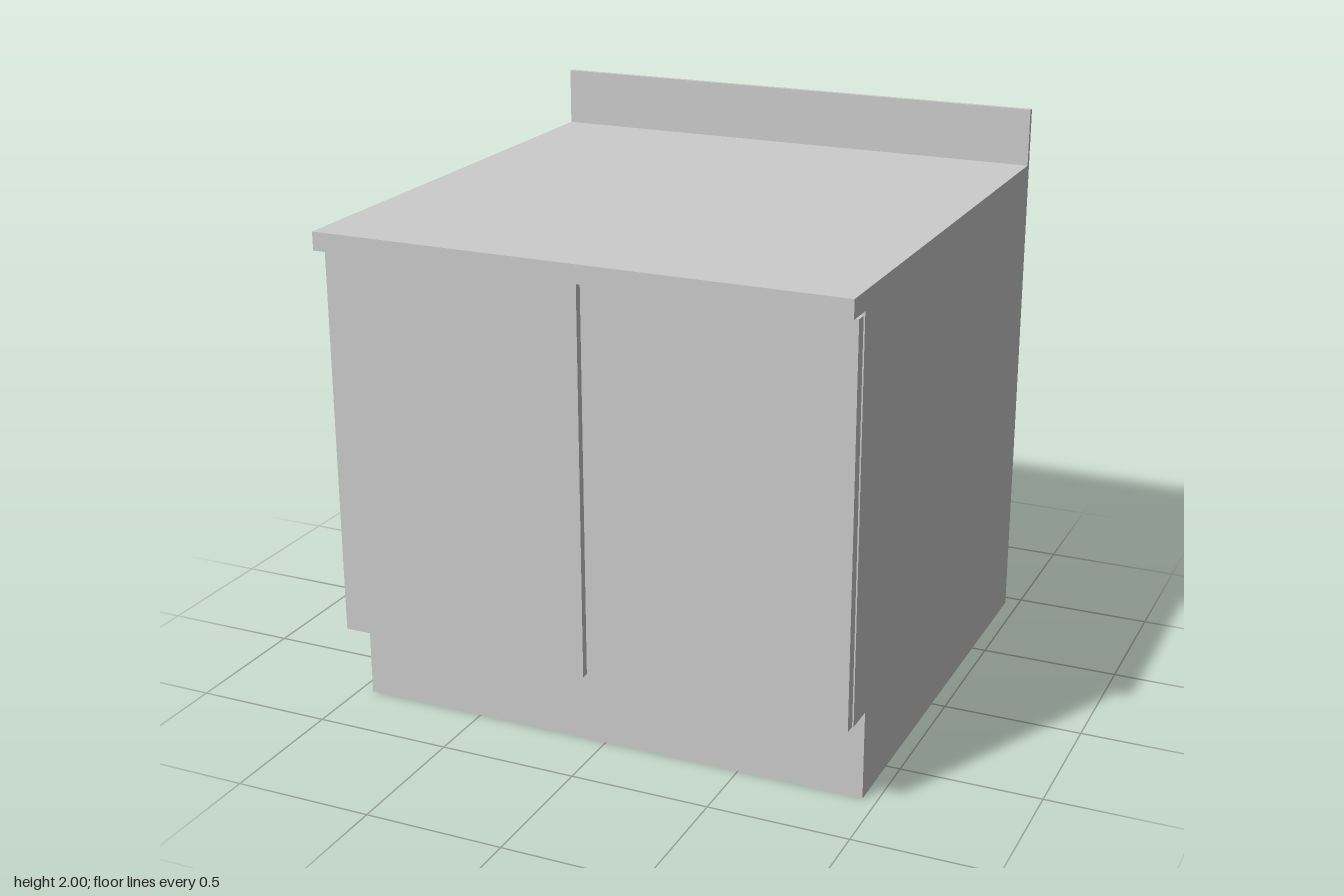
import * as THREE from 'three';

export function createModel() {
  const group = new THREE.Group();
  group.name = 'baseCabinet';
  const material = new THREE.MeshStandardMaterial({ color: 0xcccccc, flatShading: true });
  const halfWidth = 0.95;

  // Carcass, worktop and backsplash: one side profile (z, y) extruded across the width
  const profile = [
    [-0.95, 0], [0.74, 0], [0.74, 0.32], [0.85, 0.32], [0.85, 1.725],
    [0.95, 1.725], [0.95, 1.79], [-0.93, 1.79], [-0.93, 2], [-0.95, 2],
  ].map(([z, y]) => new THREE.Vector2(z, y));
  const bodyGeometry = new THREE.ExtrudeGeometry(new THREE.Shape(profile), {
    depth: halfWidth * 2, bevelEnabled: false,
  });
  bodyGeometry.rotateY(-Math.PI / 2).translate(halfWidth, 0, 0);
  const body = new THREE.Mesh(bodyGeometry, material);
  body.name = 'carcassAndWorktop';
  group.add(body);

  // Pair of flat doors with a narrow gap between them
  const inner = 0.007, outer = 0.945, bottom = 0.32, top = 1.71;
  for (const [side, name] of [[1, 'leftDoor'], [-1, 'rightDoor']]) {
    const door = new THREE.Mesh(new THREE.BoxGeometry(outer - inner, top - bottom, 0.04), material);
    door.position.set(side * (inner + outer) / 2, (top + bottom) / 2, 0.87);
    door.name = name;
    group.add(door);
  }

  return group;
}
